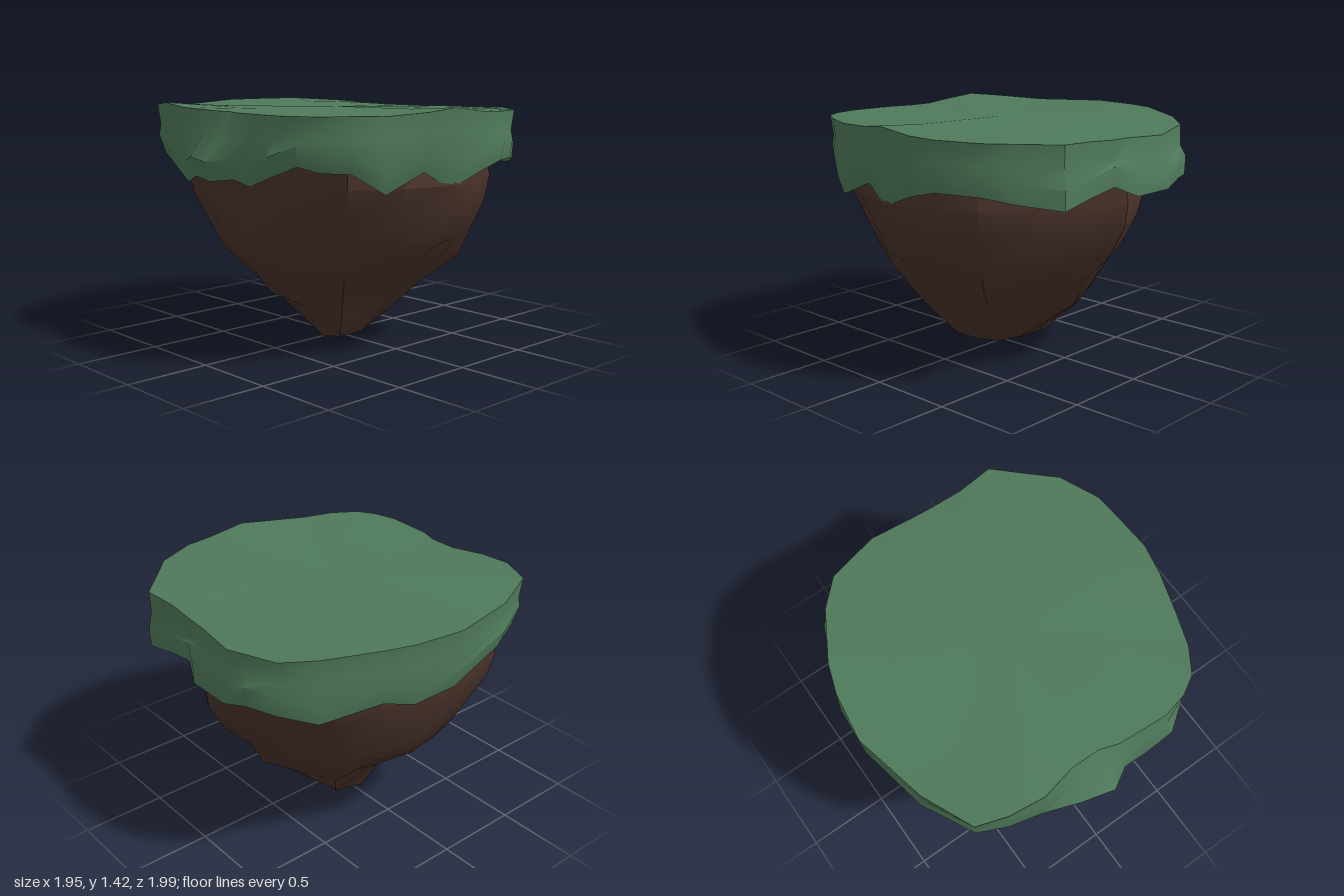
import * as THREE from 'three';
import { toCreasedNormals } from 'three/addons/utils/BufferGeometryUtils.js';

const grassMat = new THREE.MeshStandardMaterial({ color: 0x4f795a });
grassMat.name = 'grass green';
const rockMat = new THREE.MeshStandardMaterial({ color: 0x4a332b });
rockMat.name = 'earth brown';

// Skin a stack of equal-length rings (listed bottom to top, each running front -> +x -> back -> -x).
// The first and last rings are single points, so they close with fans.
function loft(rings, crease) {
  const n = rings[0].length;
  const index = [];
  for (let r = 0; r < rings.length - 1; r++) {
    for (let i = 0; i < n; i++) {
      const j = (i + 1) % n;
      const a = r * n + i, b = r * n + j, c = a + n, d = b + n;
      if (r > 0) index.push(a, b, d);
      if (r < rings.length - 2) index.push(a, d, c);
    }
  }
  const geo = new THREE.BufferGeometry();
  geo.setAttribute('position', new THREE.Float32BufferAttribute(rings.flat(2), 3));
  geo.setIndex(index);
  return toCreasedNormals(geo, crease);
}

// Grass rim, one row per point: outer x, outer z, scale of top edge, top y, hanging edge y
const RIM = [
  [0.02, 1.0, 0.81, 1.39, 1.02], [0.14, 0.93, 0.91, 1.39, 1.035],
  [0.29, 0.93, 0.92, 1.39, 1.01], [0.46, 0.93, 0.93, 1.39, 1.07],
  [0.58, 0.84, 0.99, 1.39, 1.13], [0.68, 0.77, 1.0, 1.39, 1.1],
  [0.78, 0.63, 0.99, 1.39, 1.09], [0.88, 0.47, 0.95, 1.385, 0.98],
  [0.91, 0.2, 1.0, 1.4, 1.08], [0.95, 0.02, 0.99, 1.42, 0.98],
  [0.97, -0.23, 0.97, 1.39, 1.07], [0.95, -0.4, 0.98, 1.385, 1.11],
  [0.83, -0.63, 1.0, 1.38, 1.1], [0.73, -0.77, 0.97, 1.375, 1.07],
  [0.54, -0.94, 0.98, 1.37, 1.03], [0.32, -0.92, 0.98, 1.36, 1.06],
  [0.13, -0.94, 0.97, 1.35, 1.1], [0, -1, 0.92, 1.35, 1.04],
  [-0.28, -1, 0.95, 1.34, 1.04], [-0.43, -0.97, 0.94, 1.35, 1.08],
  [-0.6, -0.9, 0.96, 1.36, 1.07], [-0.76, -0.75, 0.95, 1.38, 1.03],
  [-0.9, -0.43, 0.98, 1.4, 1.09], [-0.96, -0.25, 0.98, 1.4, 1.04],
  [-0.98, 0.04, 1.0, 1.4, 1.05], [-0.9, 0.48, 0.98, 1.385, 1.12],
  [-0.75, 0.77, 1.0, 1.4, 1.11], [-0.58, 0.84, 0.99, 1.42, 1.08],
  [-0.37, 0.87, 0.98, 1.4, 0.975], [-0.18, 0.95, 0.85, 1.39, 1.03],
];

function createGrass() {
  const ring = (f) => RIM.map(([x, z, s, top, bot]) => {
    const [k, y] = f(s, top, bot, z);
    return [x * k, y, z * k];
  });
  return loft([
    ring(() => [0, 1.2]),
    ring((s, top, bot) => [0.83, bot + 0.08]),                           // tucked underside
    ring((s, top, bot, z) => [0.96 + 0.035 * Math.max(0, -z), bot]),     // ragged hanging edge
    ring((s, top, bot) => [0.995, bot + 0.11]),                          // bulge
    ring((s, top) => [s * 0.5 + 0.485, top - 0.12]),                     // shoulder
    ring((s, top) => [s, top]),                                          // top edge
    ring((s, top) => [s * 0.65, 1.39 + (top - 1.39) * 0.3]),             // lawn
    ring(() => [0, 1.39]),
  ], 0.8);
}

// Rock corners: eight headings in degrees from the front round through +x
const HEADINGS = [0, 50, 90, 125, 180, 230, 270, 305];
// Rock levels: y, then the reach along each heading
const LEVELS = [
  [0.05, 0.17, 0.28, 0.21, 0.19, 0.15, 0.26, 0.25, 0.18],
  [0.21, 0.27, 0.44, 0.32, 0.37, 0.38, 0.46, 0.33, 0.35],
  [0.34, 0.53, 0.55, 0.41, 0.5, 0.56, 0.56, 0.43, 0.49],
  [0.51, 0.67, 0.68, 0.6, 0.73, 0.65, 0.67, 0.68, 0.72],
  [0.67, 0.76, 0.76, 0.82, 0.8, 0.81, 0.77, 0.76, 0.81],
  [0.85, 0.785, 0.84, 0.88, 0.88, 0.91, 0.85, 0.81, 0.91],
  [1.0, 0.81, 0.91, 0.93, 0.91, 0.93, 0.9, 0.84, 0.95],
  [1.22, 0.79, 0.88, 0.84, 0.87, 0.88, 0.88, 0.82, 0.91],
];

function createRock() {
  const ring = ([y, ...reach]) => {
    const corners = HEADINGS.map((deg, i) => {
      const a = THREE.MathUtils.degToRad(deg);
      return [Math.sin(a) * reach[i], y, Math.cos(a) * reach[i]];
    });
    // add a gently bowed midpoint between neighbouring corners
    const bow = 0.5 * (1 + 0.035 * Math.min(1, y));
    return corners.flatMap((p, i) => {
      const q = corners[(i + 1) % corners.length];
      return [p, [(p[0] + q[0]) * bow, y, (p[2] + q[2]) * bow]];
    });
  };
  const point = (y, z) => Array.from({ length: HEADINGS.length * 2 }, () => [0, y, z]);
  return loft([point(0, 0.12), ...LEVELS.map(ring), point(1.25, 0)], 0.7);
}

export function createModel() {
  const island = new THREE.Group();
  island.name = 'floatingIsland';
  const rock = new THREE.Mesh(createRock(), rockMat);
  rock.name = 'rockBase';
  const grass = new THREE.Mesh(createGrass(), grassMat);
  grass.name = 'grassTop';
  island.add(rock, grass);
  return island;
}
